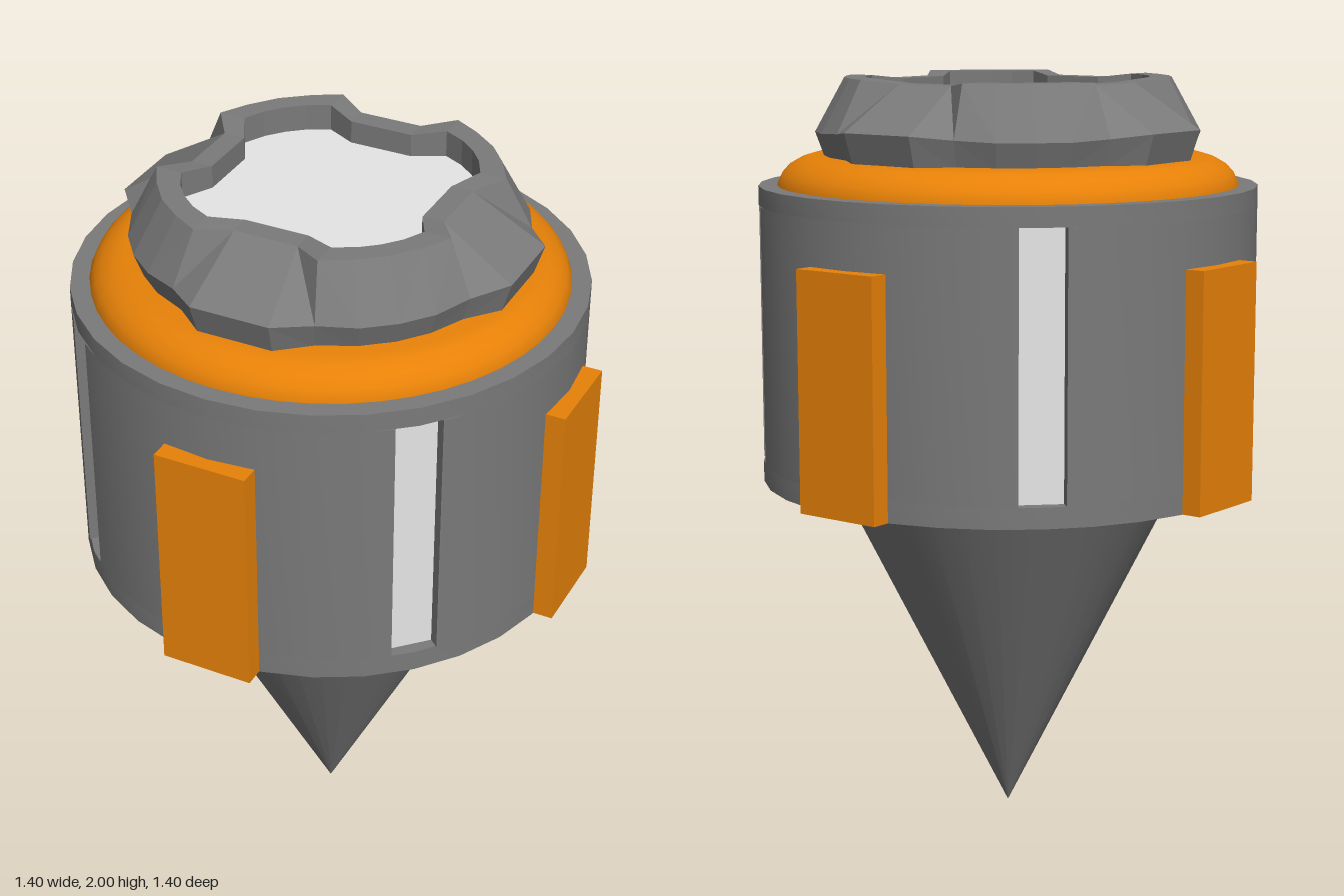
import * as THREE from 'three';
import { toCreasedNormals } from 'three/addons/utils/BufferGeometryUtils.js';

const grey = new THREE.MeshStandardMaterial({ name: 'metal grey', color: 0x7a7a7a });
const orange = new THREE.MeshStandardMaterial({ name: 'orange', color: 0xe88208 });
const light = new THREE.MeshStandardMaterial({ name: 'light grey', color: 0xe6e6e6 });

const R = 0.66, INNER = 0.45, STEP = Math.PI / 16;

function add(group, name, geometry, material) {
  const mesh = new THREE.Mesh(geometry, material);
  mesh.name = name;
  group.add(mesh);
  return mesh;
}

// Extrude a plan shape upwards between two heights
function extrudeUp(shape, y0, y1) {
  const geometry = new THREE.ExtrudeGeometry(shape, { depth: y1 - y0, bevelEnabled: false, curveSegments: 16 });
  geometry.rotateX(-Math.PI / 2).translate(0, y0, 0);
  return toCreasedNormals(geometry, 0.5);
}

// 32-sided ring
function fullRing() {
  const shape = new THREE.Shape().absarc(0, 0, R, 0, Math.PI * 2);
  shape.holes.push(new THREE.Path().absarc(0, 0, INNER, 0, Math.PI * 2, true));
  return shape;
}

// Wall section between two slots, centred on one axis
function wallSection(turn) {
  const half = Math.PI / 4 - 0.091;
  const angles = [-half];
  for (let i = -3; i <= 3; i++) angles.push(i * STEP);
  angles.push(half);
  const at = (r) => (a) => new THREE.Vector2(r * Math.cos(a + turn), r * Math.sin(a + turn));
  return new THREE.Shape([...angles.map(at(R)), ...angles.map(at(INNER)).reverse()]);
}

// Closed four-fold loop from half a quadrant of [x, z, y] points
function lobedLoop(half) {
  const mirrored = half.slice(0, -1).reverse().map(([x, z, y]) => [z, x, y]);
  let quadrant = [...half, ...mirrored];
  const loop = [];
  for (let k = 0; k < 4; k++) {
    loop.push(...quadrant);
    quadrant = quadrant.map(([x, z, y]) => [z, -x, y]);
  }
  return loop.map(([x, z, y]) => new THREE.Vector3(x, y, z));
}

// Faceted skin between successive loops, diagonals mirrored within each quadrant
function loft(loops) {
  const points = [];
  for (let k = 0; k < loops.length - 1; k++) {
    const lo = loops[k], hi = loops[k + 1];
    for (let i = 0; i < lo.length; i++) {
      const j = (i + 1) % lo.length;
      if (i % 7 < 3) points.push(lo[i], lo[j], hi[i], lo[j], hi[j], hi[i]);
      else points.push(lo[i], lo[j], hi[j], lo[i], hi[j], hi[i]);
    }
  }
  const geometry = new THREE.BufferGeometry().setFromPoints(points);
  geometry.computeVertexNormals();
  return geometry;
}

export function createModel() {
  const model = new THREE.Group();
  model.name = 'spikedDrum';

  // Spike pointing down
  const spike = add(model, 'spike', new THREE.ConeGeometry(0.468, 0.935, 32), grey);
  spike.rotation.x = Math.PI;
  spike.position.y = 0.4675;

  // Drum: bands above and below four wall sections that leave slots
  const drum = new THREE.Group();
  drum.name = 'drum';
  model.add(drum);
  add(drum, 'lowerBand', extrudeUp(fullRing(), 0.93, 0.985), grey);
  add(drum, 'upperBand', extrudeUp(fullRing(), 1.67, 1.72), grey);

  for (let k = 0; k < 4; k++) {
    const turn = k * Math.PI / 2;
    add(drum, 'wallSection', extrudeUp(wallSection(turn), 0.985, 1.67), grey);

    // Light strip at the back of each slot
    const strip = add(model, 'slotStrip', new THREE.BoxGeometry(0.15, 0.7, 0.04), light);
    strip.geometry.translate(0, 1.3275, 0.607);
    strip.rotation.y = turn + Math.PI / 4;

    // Raised plate on each side
    const plate = add(model, 'sidePlate', new THREE.BoxGeometry(0.245, 0.62, 0.1), orange);
    plate.geometry.translate(0, 1.24, 0.65);
    plate.rotation.y = turn;
  }

  // Rounded seal on top of the drum
  const sealProfile = [[0.61, 1.7], [0.61, 1.725], [0.598, 1.75], [0.578, 1.772], [0.55, 1.788], [0.52, 1.797], [0.4, 1.8]]
    .map(([x, y]) => new THREE.Vector2(x, y));
  add(model, 'sealRing', new THREE.LatheGeometry(sealProfile, 48), orange);

  // Lobed collar with a notched rim
  const waist = [[0.105, 0.535, 1.875], [0.19, 0.465, 1.865], [0.285, 0.42, 1.86], [0.36, 0.36, 1.86]];
  const foot = waist.map(([x, z]) => [x * 0.95, z * 0.95, 1.79]);
  const rim = [[0.085, 0.345, 1.99], [0.165, 0.4, 2], [0.235, 0.36, 2], [0.305, 0.305, 2]];
  const lip = [[0.085, 0.288, 1.99], [0.165, 0.33, 2], [0.22, 0.302, 2], [0.265, 0.265, 2]];
  const well = lip.map(([x, z]) => [x, z, 1.93]);
  add(model, 'collar', loft([foot, waist, rim, lip, well].map(lobedLoop)), grey);

  // Floor inside the collar
  const edge = lobedLoop(well);
  const centre = edge.map(() => new THREE.Vector3(0, 1.93, 0));
  add(model, 'collarFloor', loft([edge, centre]), light);

  return model;
}
